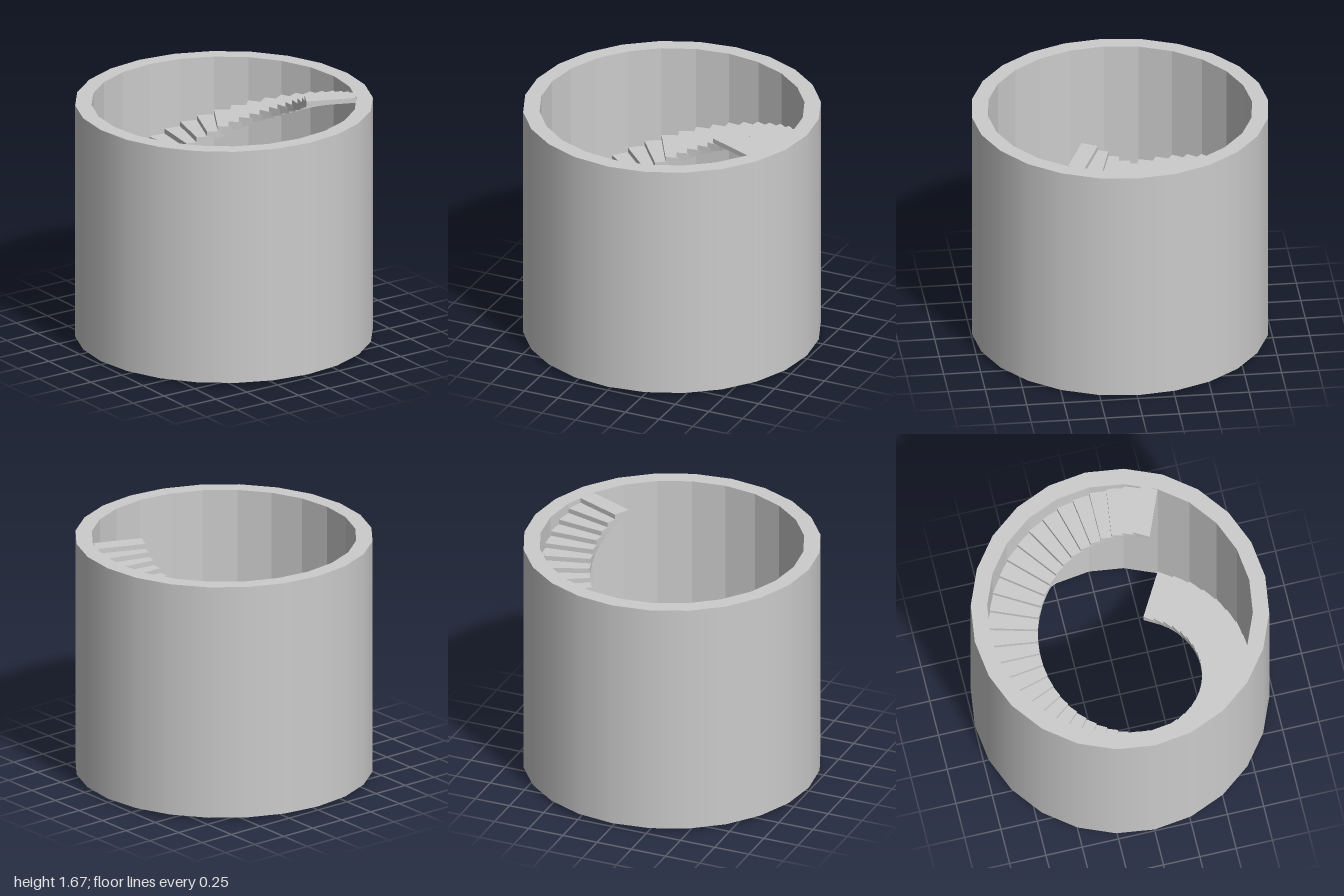
import * as THREE from 'three';

const TOP = 1.67, BASE = 0.025;      // wall heights
const OUTER = 1, INNER = 0.89;       // wall radii
const STEPS = 48, TURN = Math.PI * 2 / STEPS;
const START = THREE.MathUtils.degToRad(30);
const RISE = TOP / (STEPS + 1);

// One tread: a box bent into a slab with a level top and an underside sloping along the climb
function stepGeometry(i) {
  const g = new THREE.BoxGeometry(1, 1, 1);
  const p = g.attributes.position;
  for (let k = 0; k < p.count; k++) {
    const out = p.getX(k) > 0, up = p.getY(k) > 0, ahead = p.getZ(k) > 0;
    const r = out ? 0.886 : 0.552;
    const a = START + i * TURN + (ahead ? TURN * (out ? 1 : 1.62) : 0);
    const y = RISE * (up ? i + 2 : i + (ahead ? 1 : 0));
    p.setXYZ(k, r * Math.cos(a), y, r * Math.sin(a));
  }
  g.computeVertexNormals();
  return g;
}

export function createModel() {
  const group = new THREE.Group();
  const smooth = new THREE.MeshStandardMaterial({ color: 0xcccccc });
  const flat = new THREE.MeshStandardMaterial({ color: 0xcccccc, flatShading: true });

  // Outside of the round wall
  const outside = new THREE.Mesh(
    new THREE.CylinderGeometry(OUTER, OUTER, TOP - BASE, 24, 1, true), smooth);
  outside.position.y = (TOP + BASE) / 2;
  outside.name = 'wallOutside';
  group.add(outside);

  // Rim, faceted inside and bottom edge of the wall
  const profile = [[OUTER, TOP], [INNER, TOP], [INNER, BASE], [OUTER, BASE]]
    .map(([r, y]) => new THREE.Vector2(r, y));
  const inside = new THREE.Mesh(new THREE.LatheGeometry(profile, 24), flat);
  inside.name = 'wallInside';
  group.add(inside);

  // Spiral stair climbing one turn along the wall
  const stair = new THREE.Group();
  stair.name = 'spiralStair';
  for (let i = 0; i < STEPS; i++) {
    const step = new THREE.Mesh(stepGeometry(i), flat);
    step.name = 'step' + (i + 1);
    stair.add(step);
  }
  group.add(stair);
  return group;
}
